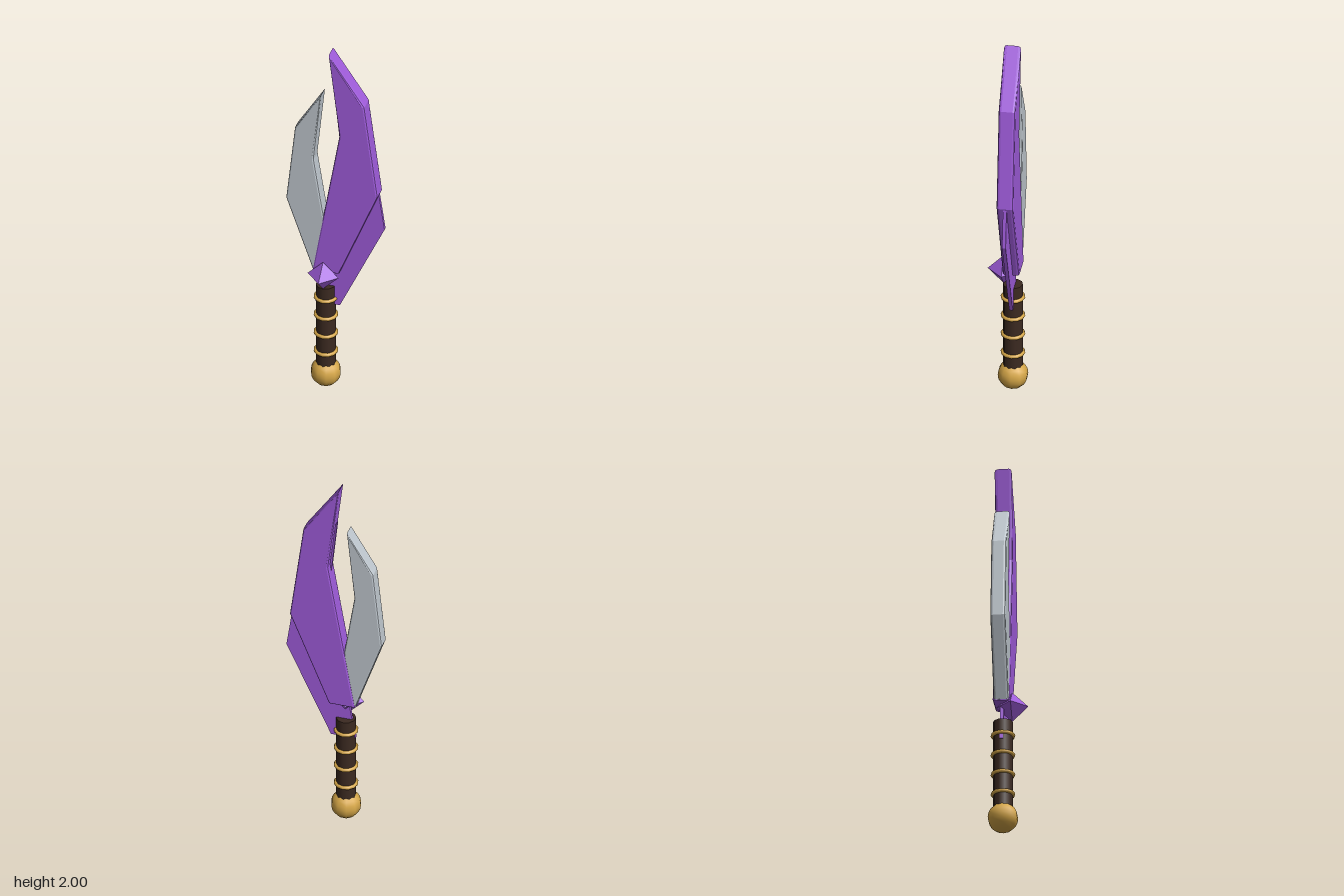
import * as THREE from 'three';

const AXIS_X = -0.055, AXIS_Z = -0.027; // handle axis

const paint = (color, flatShading = false) => new THREE.MeshStandardMaterial({ color, flatShading });

export function createModel() {
  const model = new THREE.Group();
  const purple = paint(0x9f5cdb, true);
  const silver = paint(0xbfc7ce, true);
  const gold = paint(0xd6a748);
  const leather = paint(0x3c2a21);

  function add(name, geometry, material, x = 0, y = 0, z = 0) {
    const mesh = new THREE.Mesh(geometry, material);
    mesh.name = name;
    mesh.position.set(x, y, z);
    model.add(mesh);
    return mesh;
  }

  // Plate cut from an outline, spanning z0..z1, its edges bevelled inside the outline
  function plate(points, z0, z1, bevel) {
    const shape = new THREE.Shape(points.map(([x, y]) => new THREE.Vector2(x, y)));
    return new THREE.ExtrudeGeometry(shape, {
      depth: z1 - z0 - 2 * bevel,
      bevelEnabled: bevel > 0,
      bevelThickness: bevel,
      bevelSize: bevel * 0.7,
      bevelOffset: -bevel * 0.7,
      bevelSegments: 2,
    }).translate(0, 0, z0 + bevel);
  }

  // Blades
  add('mainBlade', plate([
    [-0.115, 0.695], [0.022, 0.695], [0.226, 1.2], [0.157, 1.725], [-0.03, 2.0], [0.025, 1.525],
  ], -0.072, 0.013, 0.014), purple);
  add('sideBlade', plate([
    [-0.115, 0.7], [-0.02, 0.7], [-0.055, 1.02], [-0.108, 1.36], [-0.07, 1.75], [-0.208, 1.525], [-0.253, 1.1],
  ], -0.067, 0.009, 0.013), silver);
  add('thinBlade', plate([
    [-0.108, 0.49], [0.02, 0.49], [0.252, 0.99], [0.175, 1.52], [-0.012, 1.785], [0.035, 1.33],
  ], -0.038, -0.02, 0), purple);

  // Gem at the root of the blades
  add('gem', new THREE.OctahedronGeometry(0.08), purple, AXIS_X, 0.68, 0.02);

  // Handle with rings and a round pommel
  add('handle', new THREE.CylinderGeometry(0.05, 0.05, 0.48, 10), leather, AXIS_X, 0.36, AXIS_Z);
  for (const y of [0.205, 0.313, 0.42, 0.526]) {
    const ring = add('handleRing', new THREE.TorusGeometry(0.052, 0.01, 8, 12), gold, AXIS_X, y, AXIS_Z);
    ring.rotation.x = Math.PI / 2;
  }
  add('pommel', new THREE.SphereGeometry(0.077, 10, 10), gold, AXIS_X, 0.077, AXIS_Z);

  return model;
}
